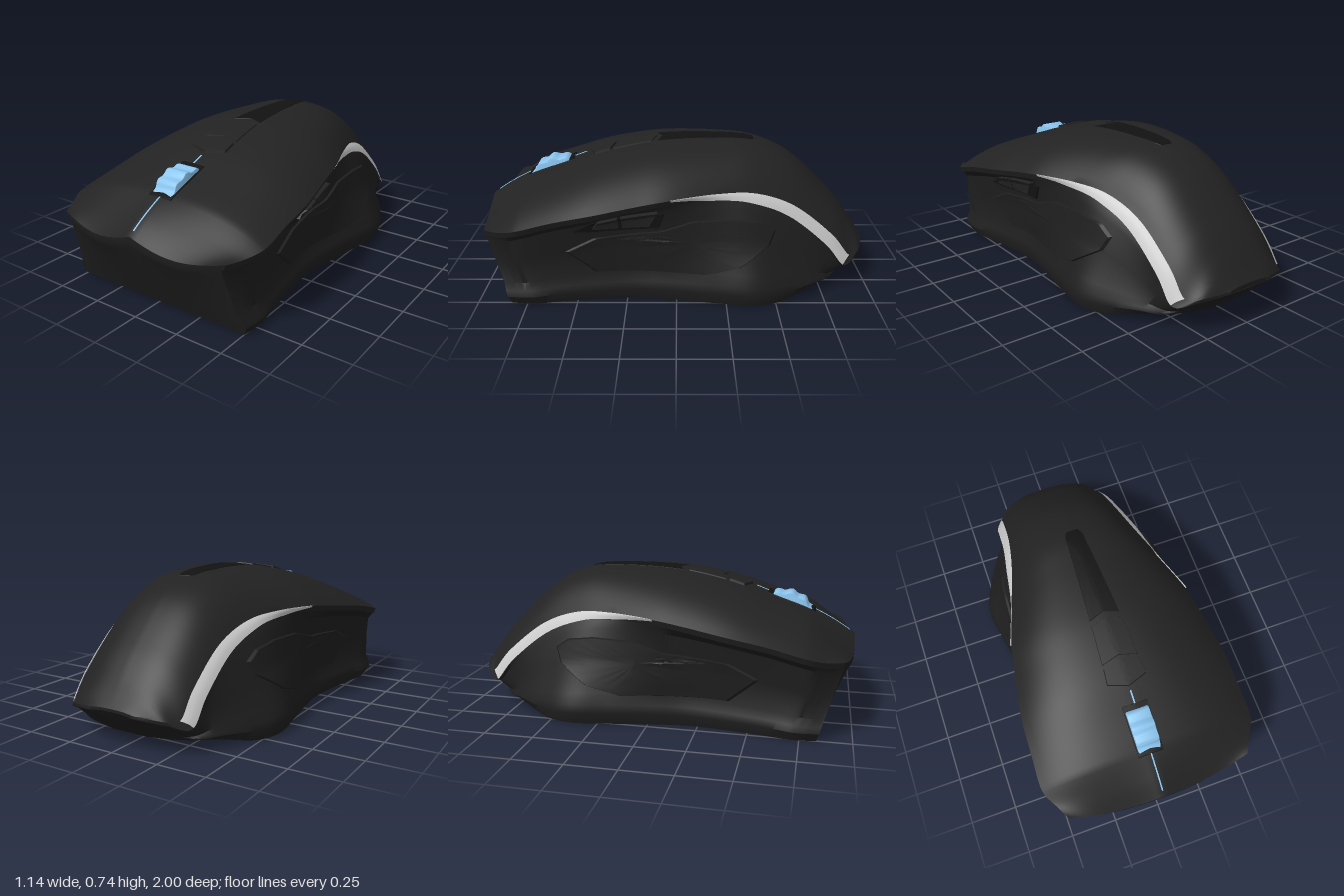
import * as THREE from 'three';
import { toCreasedNormals } from 'three/addons/utils/BufferGeometryUtils.js';

const mat = (color) => new THREE.MeshStandardMaterial({ color, side: THREE.DoubleSide });
const DARK = mat(0x222222), SIDE = mat(0x1e1e1e), BLACK = mat(0x121212), BLUE = mat(0x8cc6f0), GREY = mat(0xcccccc);
const { lerp, clamp, smoothstep } = THREE.MathUtils;

// Stations from front to back: z, crown height, shell edge x, shell edge y, base rim x
const stations = [
  [1, .41, .485, .39, .52], [.9, .475, .525, .395, .53], [.77, .54, .57, .42, .53], [.6, .6, .565, .46, .51],
  [.4, .67, .555, .495, .48], [.2, .715, .52, .525, .465], [.03, .735, .487, .545, .485], [-.2, .74, .41, .55, .525],
  [-.4, .725, .35, .53, .55], [-.6, .64, .315, .45, .49], [-.8, .46, .305, .29, .41], [-.9, .345, .3, .17, .345],
  [-.96, .26, .25, .18, .25], [-1, .205, .12, .195, .12],
];
const END = stations.length - 1;

// Smooth station at fractional index s, with the lower outline derived by rule
function stationAt(s) {
  const i = Math.min(Math.floor(s), END - 1), u = s - i;
  const at = (j) => stations[clamp(j, 0, END)];
  const [z, cy, ex, ey, rx] = at(i).map((b, c) => {
    const a = at(i - 1)[c], d = at(i + 1)[c], e = at(i + 2)[c];
    return b + .5 * u * (d - a + u * (2 * a - 5 * b + 4 * d - e + u * (3 * (b - d) + e - a)));
  });
  const front = clamp((z - .77) / .23, 0, 1), rear = smoothstep(-z, 0, .5), keep = 1 - smoothstep(-z, .9, 1);
  const lx = ex + lerp(-.012, .045, rear) * keep;
  return {
    z, cy, ex, ey, rx, lx, scoop: .05 * front, bend: .06 * front,
    ly: ey - lerp(.03, .035, rear) * lerp(.4, 1, keep),
    lz: z - .06 * front + .04 * rear * keep,
    mx: Math.min((lx + rx) / 2, rx) - .02 * keep,
    wx: rx - .03 * keep,
    zb: z - .17 * smoothstep(z, .55, 1) + .135 * smoothstep(-z, .4, 1),
    yb: .05 * smoothstep(-z, .5, .9),
  };
}
const sections = (from, to) => Array.from({ length: (to - from) * 8 + 1 }, (_, i) => stationAt(from + i / 8));

// Surface through rows of [x, y, z] points
function surface(rows, crease = .6, closed = false) {
  const w = rows[0].length, index = [];
  for (let i = 0; i < rows.length - 1; i++) for (let j = 0; j < (closed ? w : w - 1); j++) {
    const a = i * w + j, b = i * w + (j + 1) % w;
    index.push(a, b, a + w, b, b + w, a + w);
  }
  const g = new THREE.BufferGeometry();
  g.setAttribute('position', new THREE.Float32BufferAttribute(rows.flat(2), 3));
  g.setIndex(index);
  return toCreasedNormals(g, crease);
}

// Arched top curve; t runs from -1 to 1 across
function topPoint(s, t) {
  const a = Math.abs(t), f = 1 - .12 * a - .88 * a ** 3.1;
  return [s.ex * t, lerp(s.ey, s.cy, f) - s.scoop * Math.sin(Math.PI * a), s.z - s.bend * t * t];
}
const across = Array.from({ length: 33 }, (_, i) => -1 + i / 16);
const shellRow = (s) => [[-s.lx, s.ly, s.lz], ...across.map((t) => topPoint(s, t)), [s.lx, s.ly, s.lz]];

// Half profile of the lower body: x, height fraction
const sideProfile = (s) => [
  [s.lx - .005, 1], [lerp(s.lx, s.mx, .55) - .012, .92], [s.mx, .62], [s.wx, .3],
  [s.rx - .008, .2], [s.rx, .12], [s.rx - .02, 0]];

function bodyRow(s) {
  const half = (m) => sideProfile(s).map(([x, f]) => [m * x, lerp(s.yb, s.ly, f), lerp(s.zb, s.lz, f)]);
  return [...half(1), ...half(-1).reverse()];
}

// Wall closing the front or back, starting at the shell's rim
function endWall(s) {
  const rows = [across.map((t) => topPoint(s, t))];
  for (const [x, f] of sideProfile(s)) rows.push(across.map((t) => {
    const top = topPoint(s, t);
    return [x * t, lerp(s.yb, s.ly, f) + (top[1] - s.ey) * f ** 3, lerp(s.zb, top[2], f)];
  }));
  return surface(rows);
}

// Raised panel laid on a target: outline in (x,z) seen from above, or (z,y) seen from one side
function panel(outline, target, axis, lift, sign = 1) {
  const ring = outline.flatMap((p, i) => {
    const q = outline[(i + 1) % outline.length];
    return Array.from({ length: 6 }, (_, k) => [lerp(p[0], q[0], k / 6), lerp(p[1], q[1], k / 6)]);
  });
  const mid = [0, 1].map((c) => ring.reduce((sum, p) => sum + p[c], 0) / ring.length);
  const caster = new THREE.Raycaster();
  let depth = .45;
  const rows = [.001, .3, .55, .78, .94, 1].map((k) => ring.map((p) => {
    const a = lerp(mid[0], p[0], k), b = lerp(mid[1], p[1], k), up = k === 1 ? -.012 : lift;
    if (axis === 'y') caster.set(new THREE.Vector3(a, 3, b), new THREE.Vector3(0, -1, 0));
    else caster.set(new THREE.Vector3(3 * sign, b, a), new THREE.Vector3(-sign, 0, 0));
    const hit = caster.intersectObject(target)[0];
    if (hit) depth = Math.abs(hit.point[axis]);
    return axis === 'y' ? [a, depth + up, b] : [sign * (depth + up), b, a];
  }));
  return surface(rows, .5, true);
}

export function createModel() {
  const model = new THREE.Group();
  const add = (name, geometry, material) => {
    const mesh = new THREE.Mesh(geometry, material);
    mesh.name = name;
    model.add(mesh);
    return mesh;
  };

  // Main shells
  const all = sections(0, END);
  const shell = add('topShell', surface(all.map(shellRow)), DARK);
  const body = add('lowerBody', surface(all.map(bodyRow), .6, true), SIDE);
  add('frontWall', endWall(stationAt(0)), SIDE);
  add('backWall', endWall(stationAt(END)), SIDE);

  for (const m of [1, -1]) {
    const side = m > 0 ? 'left' : 'right';
    // Light strip along the rear edge of the shell, tapering in at its front
    add(side + 'LightStrip', surface(sections(6, 11).map((s, i) => {
      const width = Math.min(1, .35 + i / 10);
      return [0, .33, .67, 1].map((k) => {
        const out = .004 + .016 * k * (1 - k), g = k * width;
        return [m * (lerp(s.ex, s.lx, g) + out), lerp(s.ey, s.ly, g) + out, lerp(s.z, s.lz, g)];
      });
    })), GREY);
    // Side grip pad
    add(side + 'GripPad', panel([[.57, .275], [.42, .345], [.1, .375], [-.08, .425], [-.3, .43], [-.44, .41],
      [-.51, .36], [-.48, .29], [-.32, .19], [-.15, .145], [.42, .145]], body, 'x', .012, m), SIDE);
  }

  // Thumb buttons on their trim
  add('thumbTrim', panel([[.52, .385], [.38, .45], [.05, .47], [.08, .39], [.42, .38]], body, 'x', .008), BLACK);
  add('frontThumbButton', panel([[.41, .405], [.38, .45], [.285, .468], [.28, .405]], body, 'x', .035), DARK);
  add('rearThumbButton', panel([[.27, .405], [.275, .47], [.09, .485], [.13, .41]], body, 'x', .035), DARK);

  // Spine strip and the two chevron buttons at its front
  const chevron = (z0, w0, z1, w1, tip) =>
    [[0, z0], [w0, z0 + .028], [w1, z1], [0, z1 + tip], [-w1, z1], [-w0, z0 + .028]];
  add('spineStrip', panel([[-.035, -.42], [.035, -.42], [.05, -.38], [.083, .12], [0, .09], [-.083, .12], [-.05, -.38]],
    shell, 'y', .002), BLACK);
  add('spineRearButton', panel(chevron(.1, .084, .335, .098, -.025), shell, 'y', .006), DARK);
  add('spineFrontButton', panel(chevron(.32, .098, .43, .106, .035), shell, 'y', .012), DARK);

  // Seam between the main buttons, and the wheel well
  const patch = (w, z0, z1) => [[-w, z0], [w, z0], [w, z1], [-w, z1]];
  add('buttonSeam', panel(patch(.004, .47, .985), shell, 'y', .003), BLUE);
  add('wheelWell', panel(patch(.07, .54, .8), shell, 'y', .004), BLACK);

  // Ribbed scroll wheel
  const rim = Array.from({ length: 120 }, (_, i) => {
    const a = i / 120 * Math.PI * 2, r = .169 + .006 * Math.cos(a * 14);
    return new THREE.Vector2(r * Math.cos(a), r * Math.sin(a));
  });
  const wheel = new THREE.ExtrudeGeometry(new THREE.Shape(rim), {
    depth: .108, bevelSize: .006, bevelThickness: .006, bevelOffset: -.006, bevelSegments: 2 });
  wheel.translate(0, 0, -.054).rotateY(Math.PI / 2).translate(0, .452, .63);
  add('scrollWheel', toCreasedNormals(wheel, .5), BLUE);

  return model;
}
